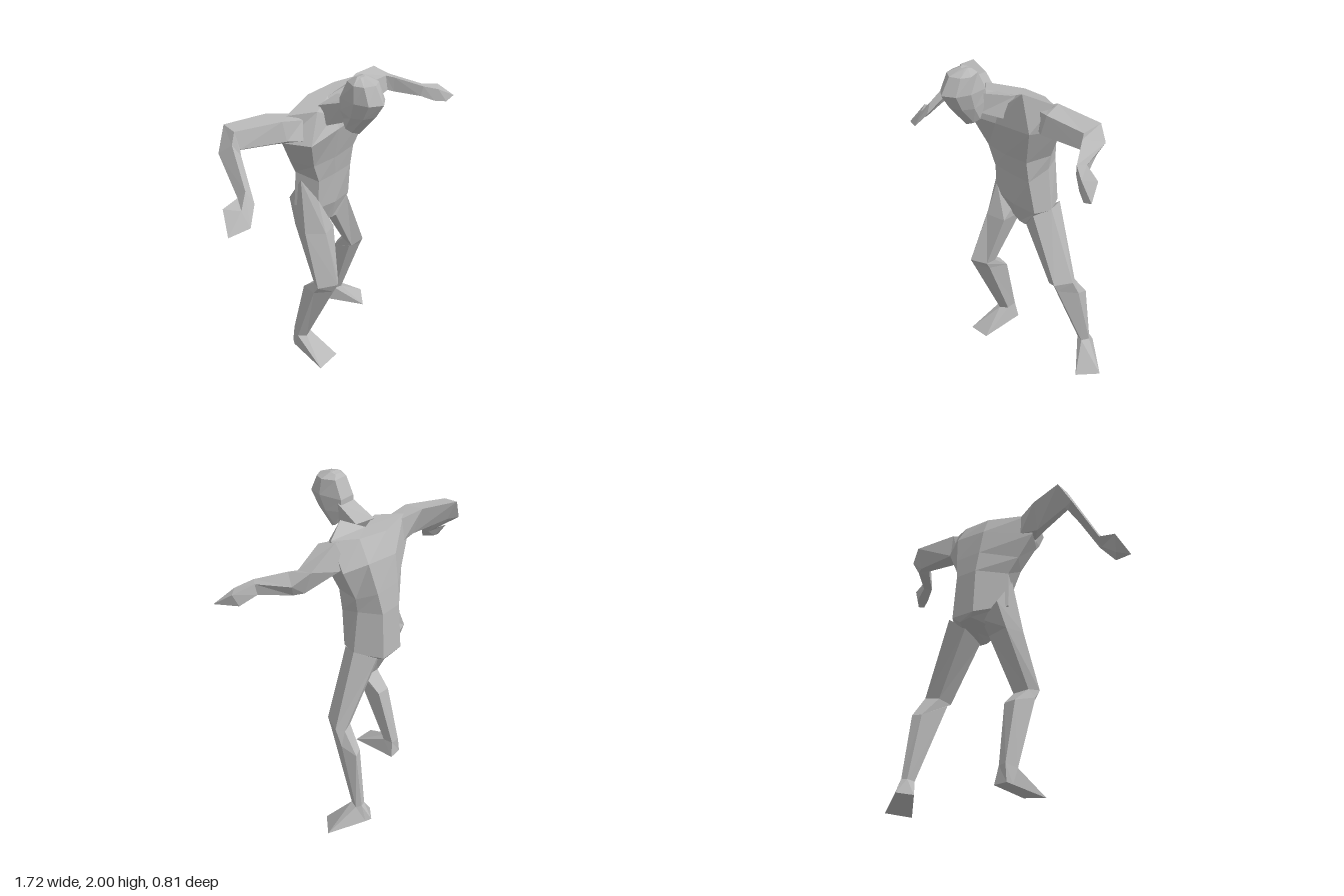
import * as THREE from 'three';

const grey = new THREE.MeshStandardMaterial({ color: 0xb8b8b8, flatShading: true });
grey.name = 'plain grey';

// Closed faceted skin over a row of rings, with fan caps; faces always point outwards
function loft(name, rings) {
  const tris = [];
  const n = rings[0].length;
  for (let r = 0; r < rings.length - 1; r++) {
    for (let i = 0; i < n; i++) {
      const j = (i + 1) % n;
      const a = rings[r][i], b = rings[r][j], c = rings[r + 1][j], d = rings[r + 1][i];
      tris.push([a, b, c], [a, c, d]);
    }
  }
  const cap = (ring, flip) => {
    const mid = [0, 1, 2].map(k => ring.reduce((s, p) => s + p[k], 0) / n);
    for (let i = 0; i < n; i++) {
      const a = ring[i], b = ring[(i + 1) % n];
      tris.push(flip ? [mid, b, a] : [mid, a, b]);
    }
  };
  cap(rings[0], true);
  cap(rings[rings.length - 1], false);

  const v = p => new THREE.Vector3(...p);
  const volume = tris.reduce((s, [a, b, c]) => s + v(a).dot(v(b).cross(v(c))), 0);
  const points = tris.flatMap(([a, b, c]) => (volume < 0 ? [a, c, b] : [a, b, c])).flat();
  const geo = new THREE.BufferGeometry();
  geo.setAttribute('position', new THREE.Float32BufferAttribute(points, 3));
  geo.computeVertexNormals();
  const mesh = new THREE.Mesh(geo, grey);
  mesh.name = name;
  return mesh;
}

// Seven-sided head ring: face ridge [y, z], then sides and back [y, z, halfWidth];
// the cheeks lie between ridge and sides
function headRing([ry, rz], [sy, sz, sw], [by, bz, bw]) {
  const x = -0.055, cy = (ry + sy) / 2, cz = rz * 0.65 + sz * 0.35, cw = sw * 0.75;
  return [
    [x - cw, cy, cz], [x, ry, rz], [x + cw, cy, cz], [x + sw, sy, sz],
    [x + bw, by, bz], [x - bw, by, bz], [x - sw, sy, sz],
  ];
}

export function createModel() {
  const model = new THREE.Group();
  model.name = 'figure';

  // Torso: crotch, hips, waist, ribs, chest, shoulders with a dip at the throat.
  // Ring order: front right, front middle, front left, left, back left, back right, right
  model.add(loft('torso', [
    [[0, 1.01, -0.04], [0.05, 0.99, -0.04], [0.1, 0.99, -0.04], [0.13, 1.02, -0.14],
      [0.09, 1.06, -0.25], [0.01, 1.07, -0.25], [-0.05, 1.04, -0.14]],
    [[-0.11, 1.14, 0], [0.04, 1.12, 0], [0.19, 1.11, -0.03], [0.225, 1.11, -0.13],
      [0.13, 1.09, -0.27], [-0.02, 1.09, -0.27], [-0.17, 1.14, -0.13]],
    [[-0.11, 1.32, 0.01], [0.03, 1.32, 0.01], [0.17, 1.32, 0], [0.19, 1.37, -0.13],
      [0.12, 1.37, -0.25], [-0.02, 1.37, -0.25], [-0.165, 1.36, -0.12]],
    [[-0.16, 1.44, 0.02], [0, 1.44, 0.03], [0.17, 1.45, 0.02], [0.205, 1.46, -0.13],
      [0.14, 1.5, -0.23], [-0.03, 1.5, -0.23], [-0.225, 1.46, -0.1]],
    [[-0.24, 1.61, 0.08], [-0.02, 1.64, 0.08], [0.25, 1.67, 0.075], [0.29, 1.65, -0.12],
      [0.17, 1.68, -0.19], [-0.04, 1.66, -0.2], [-0.31, 1.61, -0.07]],
    [[-0.15, 1.77, 0.04], [-0.03, 1.71, 0.045], [0.14, 1.85, 0.03], [0.3, 1.82, -0.05],
      [0.16, 1.8, -0.12], [-0.03, 1.78, -0.14], [-0.28, 1.76, -0.06]],
  ]));

  // Neck, leaning forward
  model.add(loft('neck', [
    [[-0.1, 1.78, 0], [0.05, 1.8, 0], [0.04, 1.68, 0.06], [-0.1, 1.68, 0.06]],
    [[-0.11, 1.85, 0.18], [0, 1.85, 0.18], [-0.01, 1.74, 0.19], [-0.1, 1.74, 0.19]],
  ]));

  // Head: chin, jaw, brow, upper skull, crown
  model.add(loft('head', [
    headRing([1.675, 0.25], [1.71, 0.2, 0.055], [1.75, 0.165, 0.04]),
    headRing([1.8, 0.355], [1.79, 0.25, 0.075], [1.8, 0.155, 0.05]),
    headRing([1.88, 0.405], [1.88, 0.28, 0.088], [1.87, 0.155, 0.05]),
    headRing([1.97, 0.35], [1.97, 0.27, 0.078], [1.97, 0.2, 0.045]),
    headRing([1.995, 0.27], [2, 0.25, 0.025], [1.99, 0.22, 0.02]),
  ]));

  // Arms, ring order: top back, top front, bottom front, bottom back
  const rightTip = [-0.86, 1.35, 0.095];
  const rightWrist = [[-0.71, 1.48, 0.01], [-0.69, 1.525, 0.05], [-0.67, 1.46, 0.09], [-0.7, 1.44, 0.06]];
  model.add(loft('rightArm', [
    [[-0.23, 1.75, -0.08], [-0.23, 1.74, 0.01], [-0.26, 1.64, 0.04], [-0.24, 1.62, -0.1]],
    [[-0.36, 1.78, -0.13], [-0.36, 1.77, -0.01], [-0.35, 1.66, 0.01], [-0.35, 1.615, -0.08]],
    [[-0.58, 1.77, -0.21], [-0.59, 1.76, -0.12], [-0.585, 1.67, -0.09], [-0.585, 1.64, -0.15]],
    [[-0.65, 1.64, -0.185], [-0.62, 1.7, -0.11], [-0.59, 1.64, -0.08], [-0.6, 1.62, -0.14]],
    rightWrist,
  ]));
  model.add(loft('rightHand', [
    rightWrist,
    [[-0.81, 1.46, 0.01], [-0.75, 1.45, 0.08], [-0.745, 1.37, 0.135], [-0.78, 1.38, 0.07]],
    [rightTip, rightTip, rightTip, rightTip],
  ]));

  const leftWrist = [[0.695, 1.69, 0.1], [0.665, 1.69, 0.14], [0.655, 1.63, 0.13], [0.69, 1.63, 0.09]];
  const leftTip = [0.86, 1.6, 0.23], leftThumb = [0.8, 1.575, 0.22];
  model.add(loft('leftArm', [
    [[0.24, 1.8, -0.07], [0.24, 1.78, 0], [0.26, 1.68, 0.02], [0.24, 1.67, -0.1]],
    [[0.3, 1.82, -0.08], [0.32, 1.79, 0.02], [0.3, 1.68, 0.04], [0.3, 1.66, -0.1]],
    [[0.545, 1.78, -0.145], [0.53, 1.75, -0.04], [0.54, 1.66, -0.03], [0.55, 1.65, -0.1]],
    [[0.63, 1.72, -0.095], [0.56, 1.74, 0], [0.565, 1.65, 0], [0.6, 1.65, -0.07]],
    leftWrist,
  ]));
  model.add(loft('leftHand', [
    leftWrist,
    [[0.81, 1.665, 0.14], [0.75, 1.66, 0.19], [0.73, 1.59, 0.18], [0.78, 1.59, 0.13]],
    [leftTip, leftTip, leftThumb, leftThumb],
  ]));

  // Legs, ring order: front ridge, inner, back inner, back outer, outer
  const rightAnkle = [[-0.165, 0.18, -0.06], [-0.115, 0.19, -0.09], [-0.12, 0.195, -0.155],
    [-0.17, 0.2, -0.165], [-0.205, 0.18, -0.1]];
  model.add(loft('rightLeg', [
    [[-0.11, 1.2, 0], [-0.01, 1.05, -0.03], [-0.02, 1.07, -0.19], [-0.14, 1.15, -0.2], [-0.165, 1.32, -0.08]],
    [[-0.12, 1, 0.07], [-0.01, 0.99, 0.03], [-0.01, 1, -0.1], [-0.16, 1, -0.14], [-0.2, 1, -0.02]],
    [[-0.145, 0.7, 0.185], [-0.07, 0.68, 0.12], [-0.08, 0.67, 0.045], [-0.19, 0.67, 0.035], [-0.225, 0.675, 0.1]],
    [[-0.15, 0.64, 0.155], [-0.08, 0.63, 0.09], [-0.09, 0.58, -0.06], [-0.17, 0.58, -0.07], [-0.22, 0.62, 0.06]],
    rightAnkle,
  ]));
  model.add(loft('rightFoot', [
    rightAnkle,
    [[-0.235, 0.06, 0.125], [-0.085, 0.08, 0.125], [-0.1, 0.09, -0.17], [-0.18, 0.095, -0.17], [-0.2, 0.085, -0.14]],
  ]));

  const leftAnkle = [[0.405, 0.155, -0.265], [0.355, 0.155, -0.28], [0.365, 0.16, -0.33],
    [0.4, 0.165, -0.34], [0.425, 0.155, -0.315]];
  model.add(loft('leftLeg', [
    [[0.18, 1.09, -0.03], [0.09, 1, -0.05], [0.09, 1.04, -0.2], [0.17, 1.1, -0.25], [0.225, 1.12, -0.13]],
    [[0.36, 0.68, -0.045], [0.285, 0.645, -0.075], [0.3, 0.66, -0.165], [0.38, 0.67, -0.195], [0.41, 0.68, -0.15]],
    [[0.365, 0.63, -0.07], [0.29, 0.63, -0.1], [0.335, 0.54, -0.27], [0.39, 0.54, -0.29], [0.415, 0.58, -0.2]],
    leftAnkle,
  ]));
  model.add(loft('leftFoot', [
    leftAnkle,
    [[0.6, 0.02, -0.245], [0.495, 0, -0.135], [0.31, 0.065, -0.33], [0.38, 0.075, -0.4], [0.41, 0.065, -0.38]],
  ]));

  return model;
}
